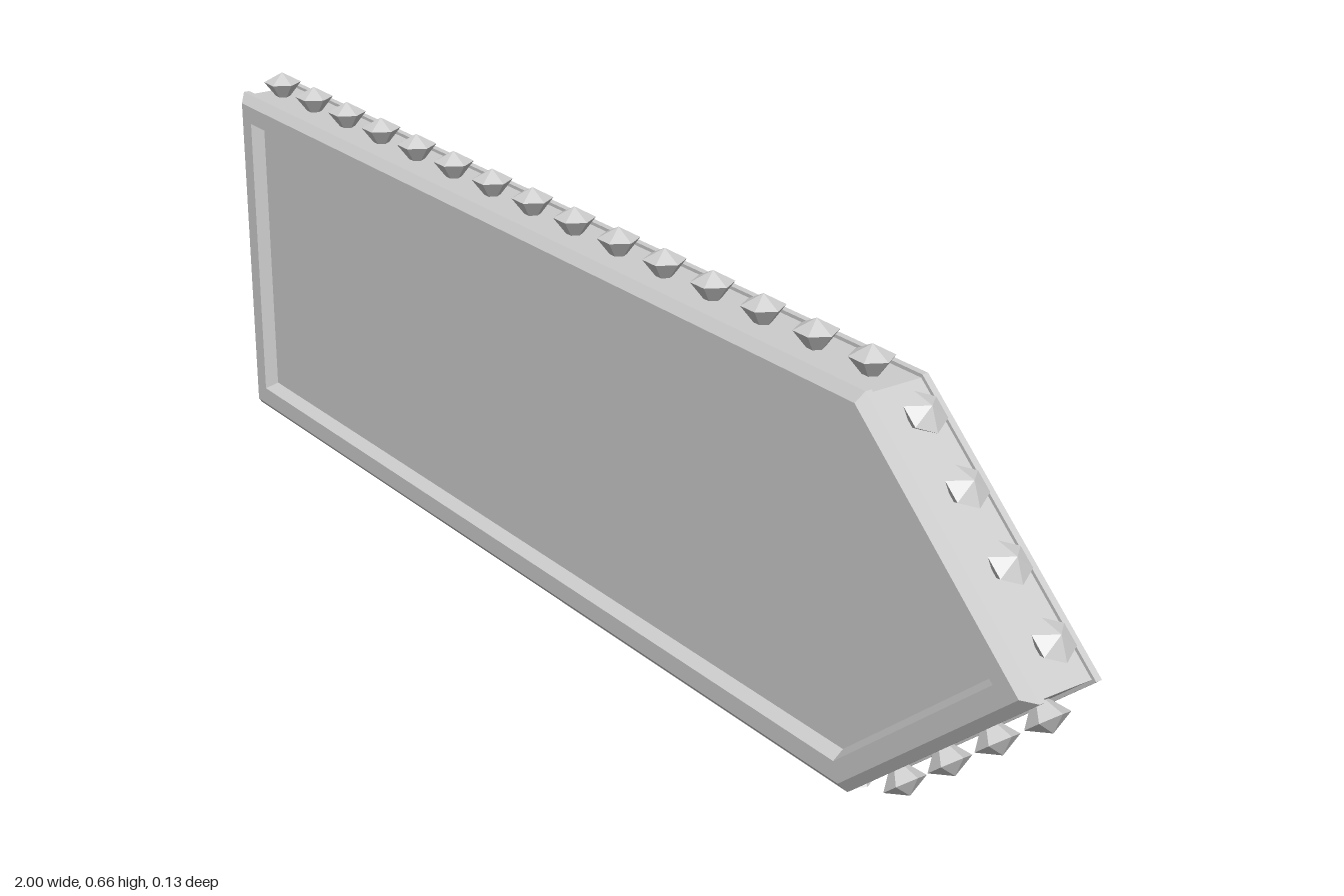
import * as THREE from 'three';

const MID = 0.335, HALF = 0.295, LEFT = -1, SHOULDER = 0.66, TIP = 1;

// Pointed sign outline, shrunk evenly by d, counter-clockwise from the front
function outline(d) {
  const run = TIP - SHOULDER, len = Math.hypot(run, HALF);
  const nx = HALF / len, ny = run / len;
  const tip = TIP - d / nx;
  const h = HALF - d;
  const shoulder = tip - h * ny / nx;
  return [[LEFT + d, MID - h], [shoulder, MID - h], [tip, MID], [shoulder, MID + h], [LEFT + d, MID + h]];
}

// Skin a series of [inset, z] rings from front to back, with optional end caps
function loft(rings, capFront, capBack) {
  const pos = [];
  const loops = rings.map(([d, z]) => outline(d).map(([x, y]) => [x, y, z]));
  const tri = (a, b, c) => pos.push(...a, ...b, ...c);
  for (let k = 0; k < loops.length - 1; k++) {
    const a = loops[k], b = loops[k + 1];
    for (let i = 0; i < 5; i++) {
      const j = (i + 1) % 5;
      tri(a[i], b[i], b[j]);
      tri(a[i], b[j], a[j]);
    }
  }
  const first = loops[0], last = loops[loops.length - 1];
  for (let i = 1; i < 4; i++) {
    if (capFront) tri(first[0], first[i], first[i + 1]);
    if (capBack) tri(last[0], last[i + 1], last[i]);
  }
  const geo = new THREE.BufferGeometry();
  geo.setAttribute('position', new THREE.Float32BufferAttribute(pos, 3));
  geo.computeVertexNormals();
  return geo;
}

export function createModel() {
  const group = new THREE.Group();
  const grey = new THREE.MeshStandardMaterial({ color: 0xcccccc });
  grey.name = 'light grey';
  const add = (name, geo) => {
    const mesh = new THREE.Mesh(geo, grey);
    mesh.name = name;
    group.add(mesh);
    return mesh;
  };

  // Front frame with chamfered rim and sunken panel
  add('frontFrame', loft([[0.055, 0.046], [0.045, 0.066], [0.015, 0.066], [0, 0.053], [0, 0.043], [0.005, 0.043]], false, false));
  add('frontPanel', loft([[0.055, 0.046]], true, false));
  // Slightly narrower core and plain chamfered back
  add('core', loft([[0.005, 0.043], [0.005, -0.043]], false, false));
  add('backPlate', loft([[0.005, -0.043], [0, -0.043], [0, -0.053], [0.015, -0.066]], false, true));

  // Six-sided bulb: narrow neck, wide girdle, pointed top
  const bulbGeo = new THREE.LatheGeometry(
    [[0.008, -0.006], [0.032, 0.025], [0, 0.042]].map(([r, y]) => new THREE.Vector2(r, y)), 6, Math.PI / 2
  ).toNonIndexed();
  bulbGeo.computeVertexNormals();

  const bulb = (x, y, nx, ny) => {
    const mesh = add('bulb', bulbGeo);
    mesh.position.set(x, y, 0);
    mesh.rotation.z = Math.atan2(-nx, ny);
  };

  // Bulbs along both long edges and both slanted edges
  const pts = outline(0.005);
  const [sx, sy] = pts[3], [tx, ty] = pts[2];
  const len = Math.hypot(tx - sx, ty - sy);
  const dx = (tx - sx) / len, dy = (ty - sy) / len;
  for (const side of [1, -1]) {
    const flip = (y) => MID + side * (y - MID);
    for (let i = 0; i < 15; i++) bulb(-0.955 + i * 0.1118, flip(sy), 0, side);
    for (let i = 0; i < 4; i++) {
      const t = 0.055 + i * 0.11;
      bulb(sx + dx * t, flip(sy + dy * t), -dy, side * dx);
    }
  }
  return group;
}
